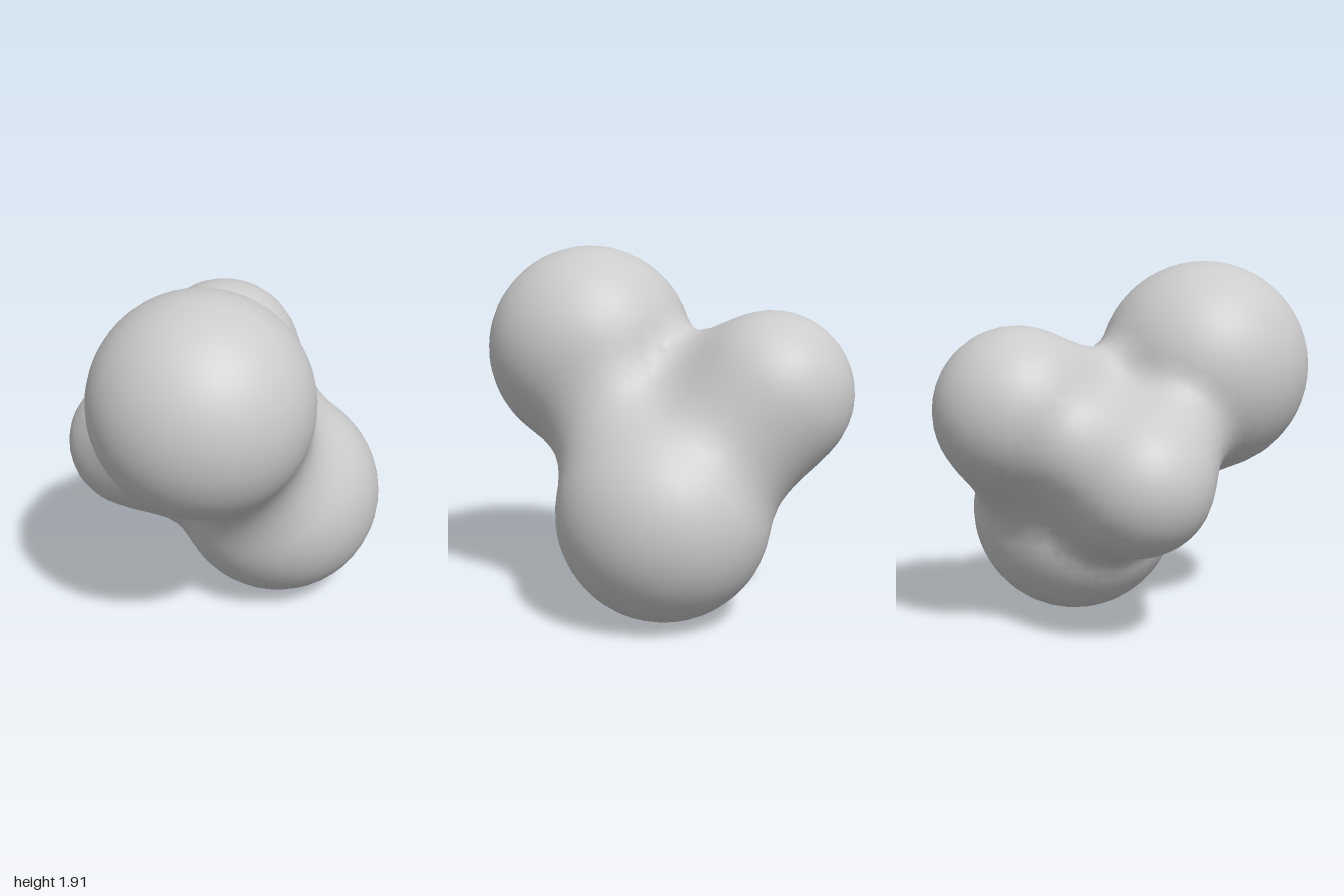
import * as THREE from 'three';

// Four soft balls: centre and the radius each would have on its own
const LEVEL = 0.6, STIFFNESS = 2;
const REACH = 1 / Math.sqrt(1 - Math.cbrt(LEVEL / STIFFNESS));
const balls = [
  { c: new THREE.Vector3(-0.235, 1.35, 0.44), r: 0.56 },  // upper front
  { c: new THREE.Vector3(0.28, 0.56, -0.035), r: 0.56 },  // lower
  { c: new THREE.Vector3(0.09, 1.17, -0.57), r: 0.43 },   // upper back
  { c: new THREE.Vector3(-0.47, 0.84, -0.25), r: 0.37 },  // small side
].map(b => ({ c: b.c, R2: (b.r * REACH) ** 2 }));

// Summed falloff of the balls, positive inside; optionally collects the outward slope
function field(p, slope) {
  let sum = -LEVEL;
  if (slope) slope.set(0, 0, 0);
  for (const { c, R2 } of balls) {
    const k = 1 - p.distanceToSquared(c) / R2;
    if (k <= 0) continue;
    sum += STIFFNESS * k ** 3;
    if (slope) slope.addScaledVector(p.clone().sub(c), 6 * STIFFNESS * k * k / R2);
  }
  return sum;
}

// Wraps the field in a quad mesh, one vertex per grid cell crossed by the surface
function blobGeometry(step) {
  const n = Math.ceil(2.3 / step) + 1;
  const stride = [1, n, n * n];
  const at = (i, j, k) => new THREE.Vector3(-1.13 + i * step, -0.13 + j * step, -1.13 + k * step);
  const id = (i, j, k) => i + j * n + k * n * n;
  const values = new Float32Array(n ** 3);
  for (let k = 0; k < n; k++) for (let j = 0; j < n; j++) for (let i = 0; i < n; i++)
    values[id(i, j, k)] = field(at(i, j, k));

  const positions = [], normals = [], index = [], cellVertex = new Map();
  const slope = new THREE.Vector3();
  for (let k = 0; k < n - 1; k++) for (let j = 0; j < n - 1; j++) for (let i = 0; i < n - 1; i++) {
    // Average of the crossings on the cell's twelve edges
    const p = new THREE.Vector3();
    let hits = 0;
    for (let a = 0; a < 8; a++) for (let bit = 1; bit < 8; bit *= 2) {
      if (a & bit) continue;
      const b = a | bit;
      const A = [i + (a & 1), j + (a >> 1 & 1), k + (a >> 2)];
      const B = [i + (b & 1), j + (b >> 1 & 1), k + (b >> 2)];
      const va = values[id(...A)], vb = values[id(...B)];
      if ((va > 0) === (vb > 0)) continue;
      p.add(at(...A).lerp(at(...B), va / (va - vb)));
      hits++;
    }
    if (!hits) continue;
    p.divideScalar(hits);
    // Settle the vertex exactly on the surface
    for (let s = 0; s < 3; s++) {
      const f = field(p, slope);
      p.addScaledVector(slope, f / Math.max(slope.lengthSq(), 0.05));
    }
    field(p, slope);
    slope.normalize();
    cellVertex.set(id(i, j, k), positions.length / 3);
    positions.push(p.x, p.y, p.z);
    normals.push(slope.x, slope.y, slope.z);
  }

  // One quad around every grid edge that passes through the surface
  for (let k = 1; k < n - 1; k++) for (let j = 1; j < n - 1; j++) for (let i = 1; i < n - 1; i++) {
    const q = id(i, j, k);
    for (let axis = 0; axis < 3; axis++) {
      const inside = values[q] > 0;
      if (inside === (values[q + stride[axis]] > 0)) continue;
      const u = stride[(axis + 1) % 3], v = stride[(axis + 2) % 3];
      const quad = [q - u - v, q - v, q, q - u].map(c => cellVertex.get(c));
      if (!inside) quad.reverse();
      const [a, b, c, d] = quad;
      index.push(a, b, c, a, c, d);
    }
  }
  const geometry = new THREE.BufferGeometry();
  geometry.setAttribute('position', new THREE.Float32BufferAttribute(positions, 3));
  geometry.setAttribute('normal', new THREE.Float32BufferAttribute(normals, 3));
  geometry.setIndex(index);
  return geometry;
}

export function createModel() {
  const group = new THREE.Group();
  group.name = 'mergedBalls';
  const blob = new THREE.Mesh(blobGeometry(0.07), new THREE.MeshStandardMaterial({ color: 0xcccccc }));
  blob.name = 'blob';
  group.add(blob);
  return group;
}
